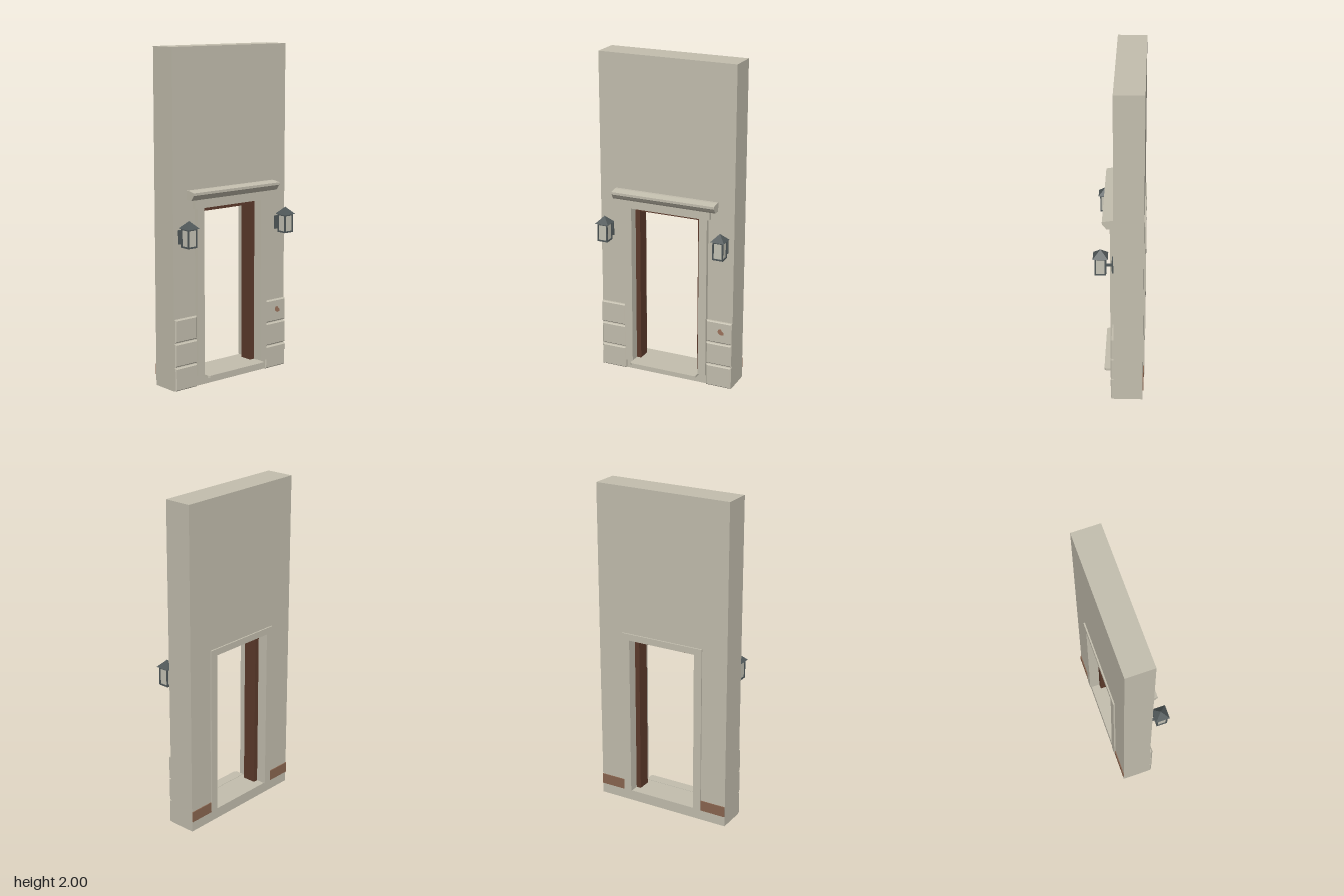
import * as THREE from 'three';

const mat = (name, color) => {
  const m = new THREE.MeshStandardMaterial({ color });
  m.name = name;
  return m;
};

export function createModel() {
  const stone = mat('limestone', 0xc3beae);
  const wood = mat('dark wood', 0x5c3a2b);
  const skirtingWood = mat('skirting brown', 0x8a6650);
  const brick = mat('exposed brick', 0x9c735c);
  const iron = mat('iron', 0x505859);
  const pane = mat('lantern glass', 0xc6c4b6);

  const model = new THREE.Group();
  model.name = 'doorway';

  const add = (parent, name, geo, material, x = 0, y = 0, z = 0) => {
    const mesh = new THREE.Mesh(geo, material);
    mesh.name = name;
    mesh.position.set(x, y, z);
    parent.add(mesh);
    return mesh;
  };
  // Box given by its limits
  const box = (parent, name, material, x0, x1, y0, y1, z0, z1) =>
    add(parent, name, new THREE.BoxGeometry(x1 - x0, y1 - y0, z1 - z0), material,
      (x0 + x1) / 2, (y0 + y1) / 2, (z0 + z1) / 2);
  // Outline extruded from z0 to z1
  const outline = (pts) => new THREE.Shape(pts.map(([x, y]) => new THREE.Vector2(x, y)));
  const plate = (parent, name, material, shape, z0, z1) =>
    add(parent, name, new THREE.ExtrudeGeometry(shape, { depth: z1 - z0, bevelEnabled: false }),
      material, 0, 0, z0);
  // Symmetrical arch outline from its right half
  const mirrored = (half) =>
    outline([...half, ...half.map(([x, y]) => [-x, y]).reverse()]);

  const W = 0.433, OPEN = 0.22, FLOOR = 0.065, HEAD = 1.07, FRONT = 0.03, BACK = -0.143;

  // Wall with the door opening
  const wallShape = outline([[-W, 0], [W, 0], [W, 2], [-W, 2]]);
  wallShape.holes.push(new THREE.Path([[-OPEN, FLOOR], [-OPEN, HEAD], [OPEN, HEAD], [OPEN, FLOOR]]
    .map(([x, y]) => new THREE.Vector2(x, y))));
  plate(model, 'wall', stone, wallShape, BACK, FRONT);

  // Eared surround in front, plain surround behind
  plate(model, 'frontSurround', stone, mirrored([
    [OPEN, HEAD], [OPEN, FLOOR], [0.27, FLOOR], [0.27, HEAD], [0.285, HEAD], [0.285, 1.128],
  ]), FRONT, 0.055);
  plate(model, 'backSurround', stone, mirrored([
    [OPEN, HEAD], [OPEN, FLOOR], [0.27, FLOOR], [0.27, 1.11],
  ]), -0.152, BACK);

  // Cornice: moulded profile swept along x
  const cornice = new THREE.ExtrudeGeometry(outline([
    [FRONT, 1.125], [0.072, 1.125], [0.08, 1.135], [0.092, 1.152],
    [0.098, 1.157], [0.098, 1.172], [0.05, 1.18], [FRONT, 1.18],
  ]), { depth: 0.66, bevelEnabled: false });
  cornice.rotateY(-Math.PI / 2);
  add(model, 'cornice', cornice, stone, 0.33, 0, 0);

  // Door step
  const step = outline([[-0.22, -FRONT], [-0.22, -0.085], [-0.21, -0.095],
    [0.21, -0.095], [0.22, -0.085], [0.22, -FRONT]]);
  const stepGeo = new THREE.ExtrudeGeometry(step, { depth: 0.014, bevelEnabled: false });
  stepGeo.rotateX(-Math.PI / 2);
  add(model, 'doorStep', stepGeo, stone, 0, 0.053, 0);

  // Wooden door frame set back in the opening
  plate(model, 'doorFrame', wood, mirrored([
    [0.19, 1.04], [0.19, FLOOR], [OPEN, FLOOR], [OPEN, HEAD],
  ]), -0.088, -0.005);

  // Bevelled base blocks and rear skirting on both sides
  const bevel = 0.006;
  for (const s of [-1, 1]) {
    const side = s > 0 ? 'left' : 'right';
    for (const [y0, y1] of [[0.003, 0.141], [0.149, 0.287], [0.295, 0.432]]) {
      const w = 0.163 / 2 - bevel, h = (y1 - y0) / 2 - bevel;
      const geo = new THREE.ExtrudeGeometry(outline([[-w, -h], [w, -h], [w, h], [-w, h]]), {
        depth: 0.012, bevelSize: bevel, bevelThickness: bevel, bevelSegments: 1,
      });
      add(model, side + 'BaseBlock', geo, stone, s * 0.3515, (y0 + y1) / 2, FRONT);
    }
    const [a, b] = s > 0 ? [0.27, W] : [-W, -0.27];
    box(model, side + 'Skirting', skirtingWood, a, b, FLOOR, 0.13, -0.149, BACK);
  }

  // Chipped patch showing brick
  plate(model, 'brickPatch', brick, outline([
    [0.344, 0.372], [0.35, 0.358], [0.366, 0.35], [0.382, 0.354],
    [0.384, 0.368], [0.372, 0.376], [0.366, 0.388], [0.35, 0.386],
  ]), 0.046, 0.049);

  // Wall lanterns
  for (const s of [-1, 1]) {
    const lamp = new THREE.Group();
    lamp.name = s > 0 ? 'leftLantern' : 'rightLantern';
    lamp.position.set(s * 0.373, 0, 0.105);
    model.add(lamp);
    box(lamp, 'glass', pane, -0.028, 0.028, 0.87, 0.972, -0.028, 0.028);
    box(lamp, 'base', iron, -0.033, 0.033, 0.863, 0.872, -0.033, 0.033);
    box(lamp, 'topRail', iron, -0.033, 0.033, 0.966, 0.976, -0.033, 0.033);
    for (const px of [-1, 1]) for (const pz of [-1, 1]) {
      add(lamp, 'post', new THREE.BoxGeometry(0.008, 0.1, 0.008), iron,
        px * 0.029, 0.92, pz * 0.029);
    }
    const roof = new THREE.ConeGeometry(0.043 * Math.SQRT2, 0.044, 4, 1).toNonIndexed();
    roof.rotateY(Math.PI / 4);
    roof.computeVertexNormals();
    add(lamp, 'roof', roof, iron, 0, 0.997, 0);
    // Arm and wall plate
    box(lamp, 'arm', iron, -0.006, 0.006, 0.908, 0.922, -0.068, -0.03);
    box(lamp, 'wallPlate', iron, -0.025, 0.025, 0.875, 0.957, -0.075, -0.065);
  }

  return model;
}
